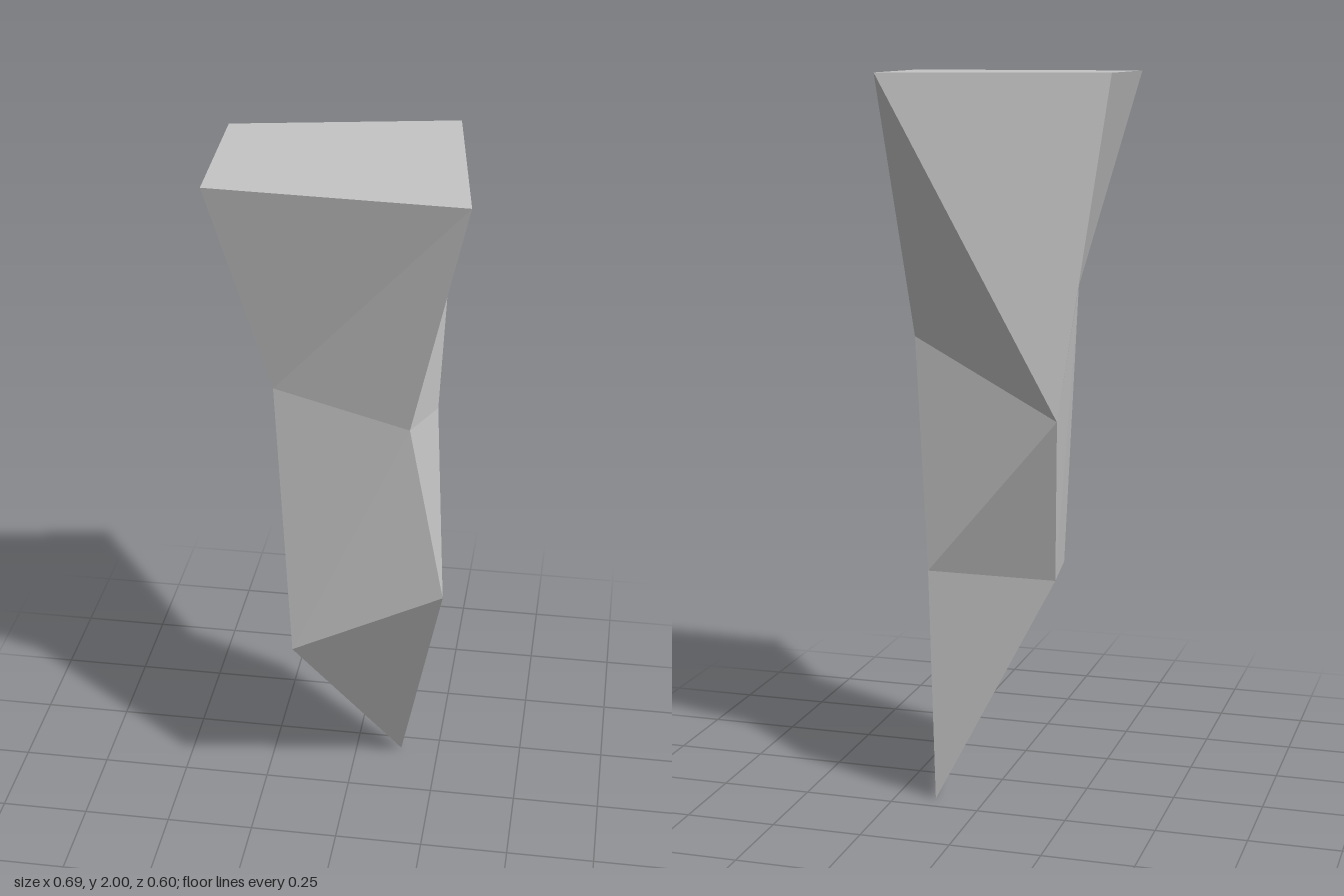
import * as THREE from 'three';

// Cross-sections from top to bottom; corners run front right, front left, back left, back right
const rings = [
  [[-0.325, 2, 0.265], [0.342, 2, 0.3], [0.257, 2, -0.302], [-0.345, 2, -0.187]],
  [[-0.175, 1.41, 0.16], [0.192, 1.338, 0.204], [0.24, 1.28, -0.04], [-0.235, 1.11, -0.3]],
  [[-0.13, 0.608, 0.19], [0.29, 0.832, 0.21], [0.14, 0.67, -0.24], [-0.2, 0.65, -0.175]],
];
const tip = [0.137, 0, -0.195];

// Quads whose crease runs from the upper left to the lower right corner
const flipped = [[false, false, true, true], [false, false, false, false]];

function shardGeometry() {
  const points = [];
  const tri = (...corners) => corners.forEach((p) => points.push(...p));

  // Flat top
  const [p, q, r, s] = rings[0];
  tri(p, q, r);
  tri(p, r, s);

  // Faceted sides
  for (let level = 0; level < 2; level++) {
    for (let i = 0; i < 4; i++) {
      const j = (i + 1) % 4;
      const a = rings[level][i], b = rings[level][j];
      const c = rings[level + 1][i], d = rings[level + 1][j];
      if (flipped[level][i]) {
        tri(a, c, d);
        tri(a, d, b);
      } else {
        tri(a, c, b);
        tri(b, c, d);
      }
    }
  }

  // Pointed lower end
  for (let i = 0; i < 4; i++) tri(rings[2][i], tip, rings[2][(i + 1) % 4]);

  const geometry = new THREE.BufferGeometry();
  geometry.setAttribute('position', new THREE.Float32BufferAttribute(points, 3));
  geometry.computeVertexNormals();
  return geometry;
}

export function createModel() {
  const group = new THREE.Group();
  group.name = 'rockShard';
  const stone = new THREE.MeshStandardMaterial({ color: 0xc4c4c4, flatShading: true });
  stone.name = 'lightGreyStone';
  const shard = new THREE.Mesh(shardGeometry(), stone);
  shard.name = 'shard';
  group.add(shard);
  return group;
}
